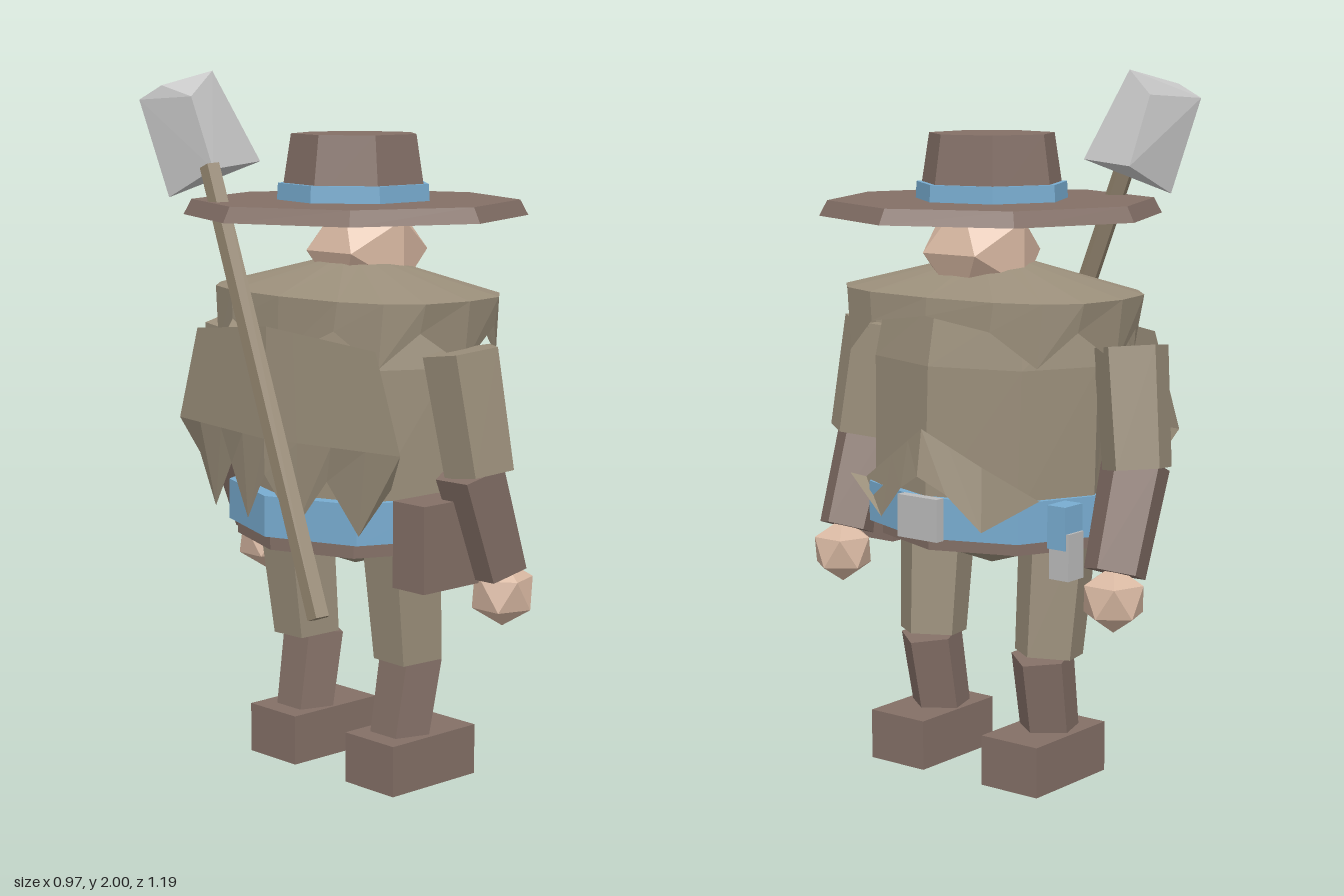
import * as THREE from 'three';
import { ConvexGeometry } from 'three/addons/geometries/ConvexGeometry.js';

const V = (x, y, z) => new THREE.Vector3(x, y, z);

function material(name, color) {
  const m = new THREE.MeshStandardMaterial({ color, flatShading: true, side: THREE.DoubleSide });
  m.name = name;
  return m;
}

// Surface through cross-sections, each a closed (or open) row of equal length
function loft(rows, closed = true) {
  const pos = [], n = rows[0].length;
  const tri = (...ps) => ps.forEach(p => pos.push(p.x, p.y, p.z));
  for (let r = 0; r + 1 < rows.length; r++) {
    for (let i = 0; i < (closed ? n : n - 1); i++) {
      const j = (i + 1) % n, a = rows[r], b = rows[r + 1];
      tri(a[i], a[j], b[i]);
      tri(a[j], b[j], b[i]);
    }
  }
  const g = new THREE.BufferGeometry();
  g.setAttribute('position', new THREE.Float32BufferAttribute(pos, 3));
  g.computeVertexNormals();
  return g;
}

// Elliptical ring; power below 1 makes it squarer; y may be a function of the index
function ring(n, rx, rz, y, power = 1, cx = 0) {
  const bend = v => Math.sign(v) * Math.pow(Math.abs(v), power);
  return Array.from({ length: n }, (_, i) => {
    const a = -i / n * Math.PI * 2;
    return V(cx + rx * bend(Math.cos(a)), typeof y === 'function' ? y(i) : y, rz * bend(Math.sin(a)));
  });
}

export function createModel() {
  const root = new THREE.Group();
  root.name = 'hattedWanderer';
  const coat = material('coat olive', 0x9a8e7a);
  const leather = material('leather brown', 0x836f66);
  const blue = material('belt blue', 0x78acd0);
  const skin = material('skin', 0xd8b8a2);
  const steel = material('steel', 0xbbbbbb);
  const wood = material('shaft wood', 0x93856f);

  const add = (name, geo, mat, x = 0, y = 0, z = 0) => {
    const m = new THREE.Mesh(geo, mat);
    m.name = name;
    m.position.set(x, y, z);
    root.add(m);
    return m;
  };
  // Tapered prism between two points, with one edge facing forward (+x)
  const prism = (name, top, bottom, rTop, rBottom, mat, sides = 5) => {
    const d = top.clone().sub(bottom);
    const g = new THREE.CylinderGeometry(rTop, rBottom, d.length(), sides, 1, false, Math.PI / 2);
    const c = top.clone().add(bottom).multiplyScalar(0.5);
    const m = add(name, g, mat, c.x, c.y, c.z);
    m.quaternion.setFromUnitVectors(V(0, 1, 0), d.normalize());
    return m;
  };
  const drum = (name, rTop, rBottom, y0, y1, sides, mat, sx = 1, sz = 1, x = 0) => {
    const m = add(name, new THREE.CylinderGeometry(rTop, rBottom, y1 - y0, sides), mat, x, (y0 + y1) / 2, 0);
    m.scale.set(sx, 1, sz);
    return m;
  };
  const box = (name, w, h, d, mat, x, y, z) => add(name, new THREE.BoxGeometry(w, h, d), mat, x, y, z);

  // Limbs, mirrored across z
  for (const s of [1, -1]) {
    const side = s > 0 ? 'right' : 'left';
    box(side + 'Boot', 0.325, 0.145, 0.195, leather, 0.022, 0.0725, s * 0.205);
    prism(side + 'Shin', V(0.03, 0.365, s * 0.205), V(-0.012, 0.13, s * 0.2), 0.093, 0.088, leather);
    prism(side + 'Thigh', V(-0.025, 0.74, s * 0.22), V(0.01, 0.365, s * 0.213), 0.118, 0.102, coat);
    prism(side + 'UpperArm', V(-0.035, 1.26, s * 0.455), V(-0.005, 0.93, s * 0.5), 0.108, 0.1, coat);
    prism(side + 'Forearm', V(-0.025, 0.94, s * 0.483), V(0.077, 0.65, s * 0.487), 0.1, 0.09, leather);
    const hand = add(side + 'Hand', new THREE.IcosahedronGeometry(0.095, 0), skin, 0.092, 0.583, s * 0.493);
    hand.rotation.z = Math.atan(0.618);
  }

  // Torso, hips and belt
  add('torso', loft([
    ring(8, 0.11, 0.14, 1.45), ring(8, 0.25, 0.34, 1.37),
    ring(8, 0.285, 0.37, 1.2), ring(8, 0.3, 0.36, 0.8)
  ]), coat);
  add('hips', loft([ring(8, 0.28, 0.33, 0.72), ring(8, 0.27, 0.32, 0.7), ring(8, 0.001, 0.001, 0.6)]), coat);
  drum('jacketHem', 1, 1, 0.685, 0.74, 8, leather, 0.305, 0.345, -0.02);
  drum('belt', 1, 1, 0.725, 0.84, 8, blue, 0.335, 0.378, -0.01);
  box('buckle', 0.03, 0.12, 0.14, steel, 0.32, 0.783, 0);
  box('beltPouch', 0.22, 0.24, 0.12, leather, -0.08, 0.735, 0.41);
  box('hangerLoop', 0.08, 0.12, 0.06, blue, 0.17, 0.785, -0.385);
  box('hangerTool', 0.07, 0.13, 0.065, steel, 0.17, 0.705, -0.39);

  // Shoulder mantle with a ragged hem
  add('mantle', loft([
    ring(16, 0.1, 0.13, 1.47),
    ring(16, 0.29, 0.45, 1.39, 0.75),
    ring(16, 0.295, 0.43, i => i === 0 ? 1.34 : i % 2 ? 1.31 : 1.215, 0.75)
  ]), coat);

  // Ragged flap over the front of the belt
  const flapTop = [], flapHem = [];
  for (const z of [-0.34, -0.18, -0.08, 0, 0.08, 0.18, 0.34]) {
    const a = Math.abs(z);
    flapTop.push(V(0.315 - a * 0.35, 1.03 - a * 0.55, z * 0.9));
    flapHem.push(V(0.335 - a * 0.32, a === 0.18 ? 0.755 : a < 0.05 ? 0.9 : 0.855, z));
  }
  add('frontFlap', loft([flapTop, flapHem], false), coat);

  // Cape hanging down the back, widest below the shoulders
  const capeRows = [[], [], []];
  for (let i = -4; i <= 4; i++) {
    const t = i / 4, a = Math.abs(t);
    capeRows[0].push(V(-0.335 + 0.06 * a, 1.31 - 0.04 * a, t * 0.37));
    capeRows[1].push(V(-0.345 + 0.075 * a, 1.0, t * 0.46));
    capeRows[2].push(V(-0.345 + 0.1 * a, i % 2 ? 0.76 : 0.9, t * 0.4));
  }
  add('backCape', loft(capeRows, false), coat);

  // Head and hat
  add('head', new THREE.IcosahedronGeometry(0.175, 0), skin, 0.045, 1.5, 0);
  drum('hatBrim', 0.462, 0.485, 1.6, 1.643, 8, leather);
  drum('hatBand', 0.218, 0.221, 1.64, 1.69, 7, blue).rotation.y = Math.PI;
  drum('hatCrown', 0.181, 0.21, 1.64, 1.827, 7, leather).rotation.y = Math.PI;

  // Axe slung across the back
  prism('axeShaft', V(-0.345, 1.74, -0.22), V(-0.392, 0.55, 0.275), 0.03, 0.032, wood);
  add('axeHead', new ConvexGeometry([
    V(-0.45, 1.92, -0.4), V(-0.41, 1.96, -0.35), V(-0.31, 2.0, -0.25),
    V(-0.21, 1.75, -0.165), V(-0.4, 1.65, -0.335),
    V(-0.285, 1.73, -0.27), V(-0.335, 1.73, -0.22),
    V(-0.34, 1.93, -0.3), V(-0.37, 1.93, -0.27)
  ]), steel);

  return root;
}
